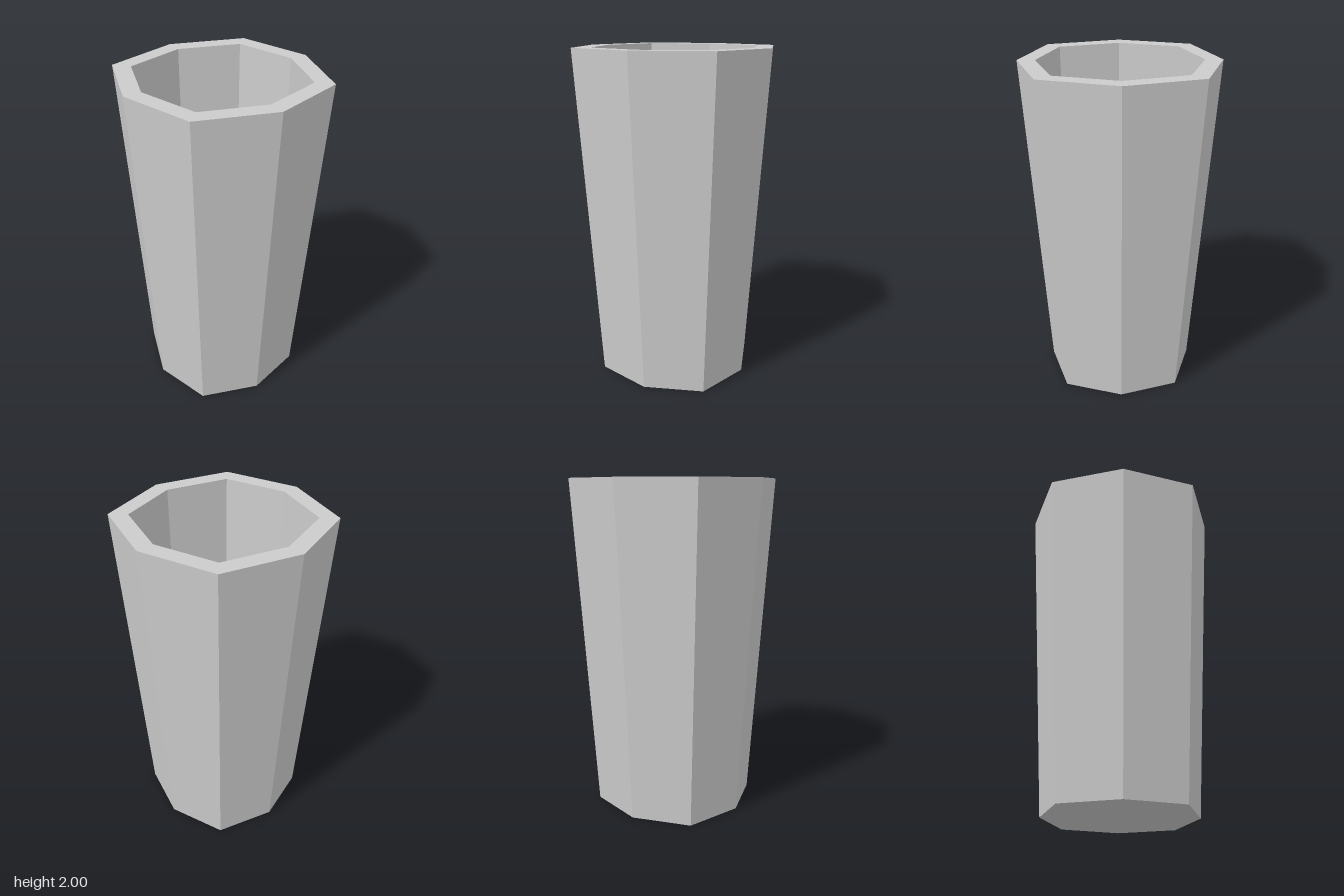
import * as THREE from 'three';

// Eight-sided ring: radius on the axes, corners pushed out on the diagonals
const DIAGONAL = 0.76 / Math.SQRT1_2;

export function createModel() {
  const group = new THREE.Group();
  group.name = 'cup';

  // Profile: underside, outer wall, rim, inner wall, inner floor
  const profile = [
    [0, 0], [0.456, 0], [0.583, 2], [0.479, 2], [0.444, 0.05], [0, 0.05],
  ].map(([r, y]) => new THREE.Vector2(r, y));
  const lathe = new THREE.LatheGeometry(profile, 8);

  // Widen every second corner
  const pos = lathe.attributes.position;
  for (let i = 0; i < pos.count; i++) {
    const side = Math.floor(i / profile.length);
    if (side % 2 === 1) {
      pos.setX(i, pos.getX(i) * DIAGONAL);
      pos.setZ(i, pos.getZ(i) * DIAGONAL);
    }
  }
  const geometry = lathe.toNonIndexed();
  geometry.computeVertexNormals();

  const body = new THREE.Mesh(
    geometry,
    new THREE.MeshStandardMaterial({ color: 0xcccccc, flatShading: true })
  );
  body.name = 'cupBody';
  group.add(body);
  return group;
}
